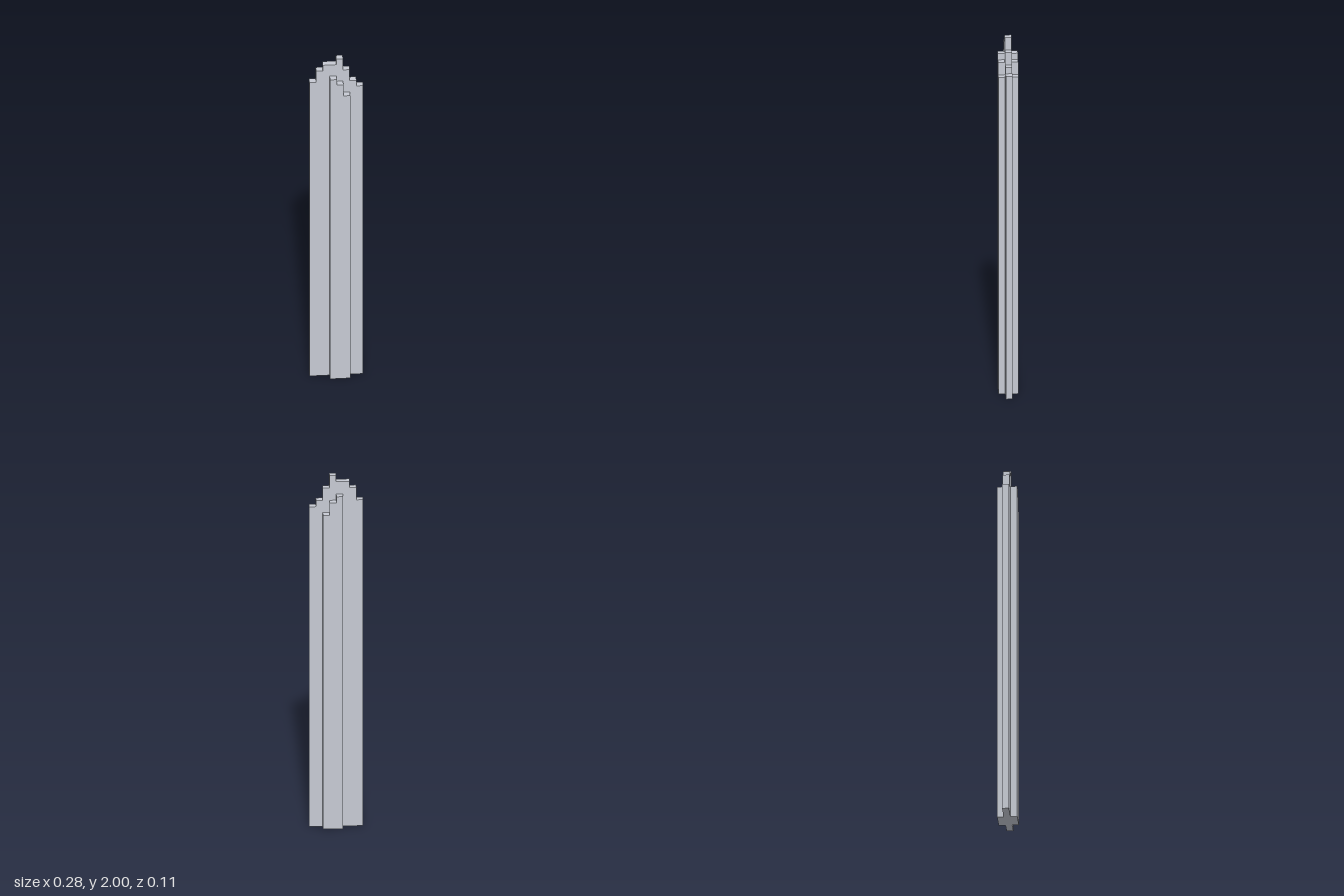
import * as THREE from 'three';

const U = 2 / 57; // module size: the tower is 57 steps tall, 8 wide, 3 deep

// Upright slab one module thick whose top edge steps along the given column heights
function steppedSlab(name, firstColumn, heights, z, material) {
  const shape = new THREE.Shape();
  shape.moveTo(firstColumn * U, 0);
  shape.lineTo((firstColumn + heights.length) * U, 0);
  for (let i = heights.length - 1; i >= 0; i--) {
    const x = firstColumn + i;
    if (heights[i] !== heights[i + 1]) shape.lineTo((x + 1) * U, heights[i] * U);
    if (heights[i] !== heights[i - 1]) shape.lineTo(x * U, heights[i] * U);
  }
  const geometry = new THREE.ExtrudeGeometry(shape, { depth: U, bevelEnabled: false });
  geometry.translate(0, 0, z * U - U / 2);
  const mesh = new THREE.Mesh(geometry, material);
  mesh.name = name;
  return mesh;
}

export function createModel() {
  const group = new THREE.Group();
  group.name = 'steppedTower';
  const stone = new THREE.MeshStandardMaterial({ color: 0xc6cad3 });
  stone.name = 'pale grey stone';

  // Wide central slab with the peak
  group.add(steppedSlab('coreSlab', -4, [53, 55, 56, 56, 57, 55, 53, 52], 0, stone));

  // Narrower slabs against the front and back
  const buttress = [54, 53, 51];
  group.add(steppedSlab('frontSlab', -1, buttress, 1, stone));
  group.add(steppedSlab('backSlab', -1, buttress, -1, stone));
  return group;
}
